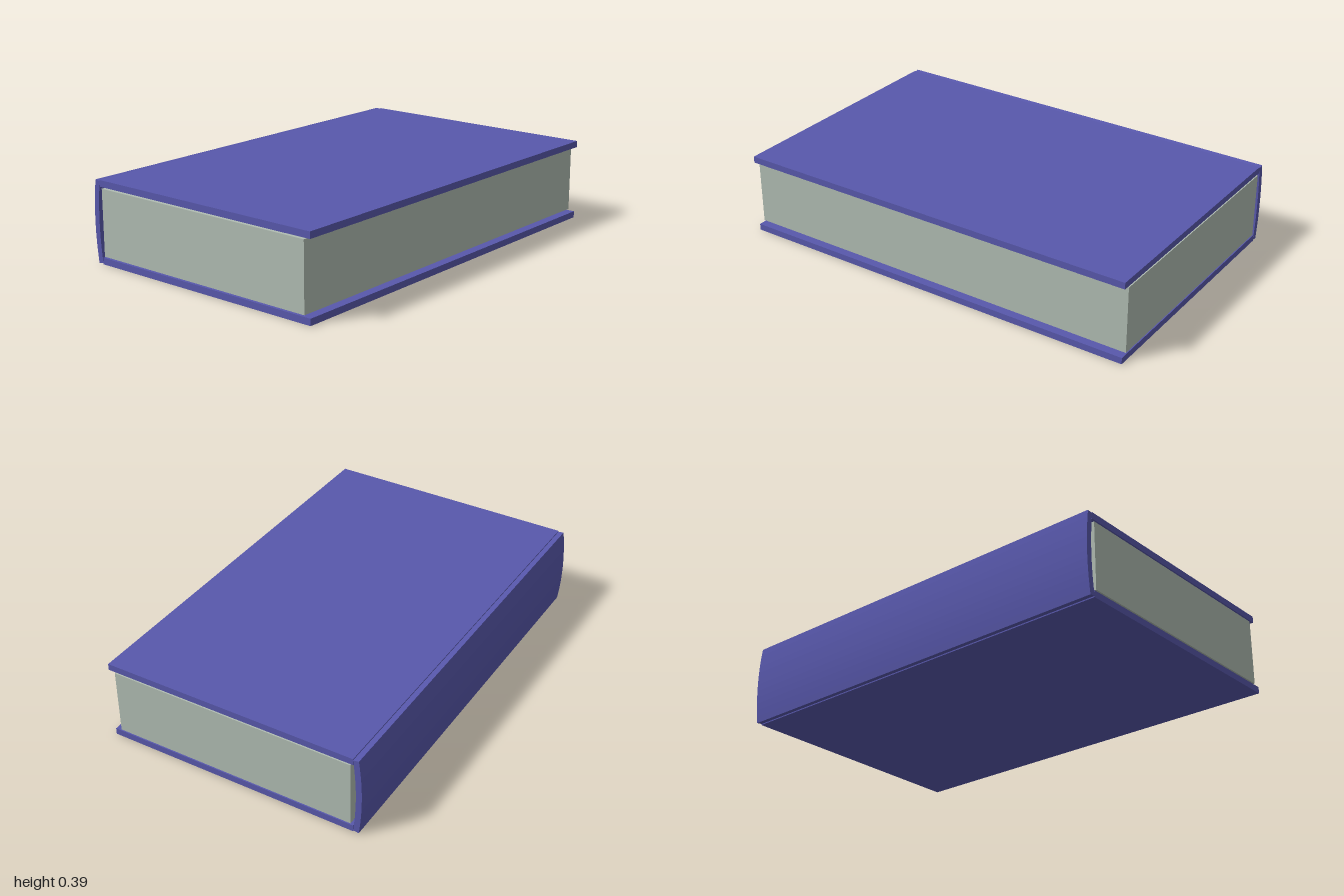
import * as THREE from 'three';

export function createModel() {
  const book = new THREE.Group();
  book.name = 'book';
  const coverMat = new THREE.MeshStandardMaterial({ color: 0x5858ac });
  const pageMat = new THREE.MeshStandardMaterial({ color: 0xb0bcb2 });
  const length = 2, height = 0.391;

  // Box given by its x and y limits, running the full length of the book
  function slab(name, x0, x1, y0, y1, material) {
    const mesh = new THREE.Mesh(new THREE.BoxGeometry(x1 - x0, y1 - y0, length), material);
    mesh.position.set((x0 + x1) / 2, (y0 + y1) / 2, 0);
    mesh.name = name;
    book.add(mesh);
  }

  // Boards and page block
  slab('bottomCover', -0.595, 0.636, 0, 0.031, coverMat);
  slab('topCover', -0.595, 0.636, height - 0.031, height, coverMat);
  slab('pages', -0.583, 0.604, 0.038, height - 0.038, pageMat);

  // Spine: a shallow arc of even thickness, bulging away from the pages
  const spineShape = new THREE.Shape();
  const steps = 12;
  const point = (t, x, bulge, half) => [x - bulge * (1 - t * t), height / 2 + half * t];
  for (let i = 0; i <= steps; i++) {
    const p = point(1 - (2 * i) / steps, -0.622, 0.014, 0.194);
    if (i === 0) spineShape.moveTo(...p);
    else spineShape.lineTo(...p);
  }
  for (let i = 0; i <= steps; i++) {
    spineShape.lineTo(...point((2 * i) / steps - 1, -0.595, 0.013, 0.19));
  }
  spineShape.closePath();
  const spineGeo = new THREE.ExtrudeGeometry(spineShape, { depth: length, bevelEnabled: false });
  spineGeo.translate(0, 0, -length / 2);
  const spine = new THREE.Mesh(spineGeo, coverMat);
  spine.name = 'spine';
  book.add(spine);

  return book;
}
